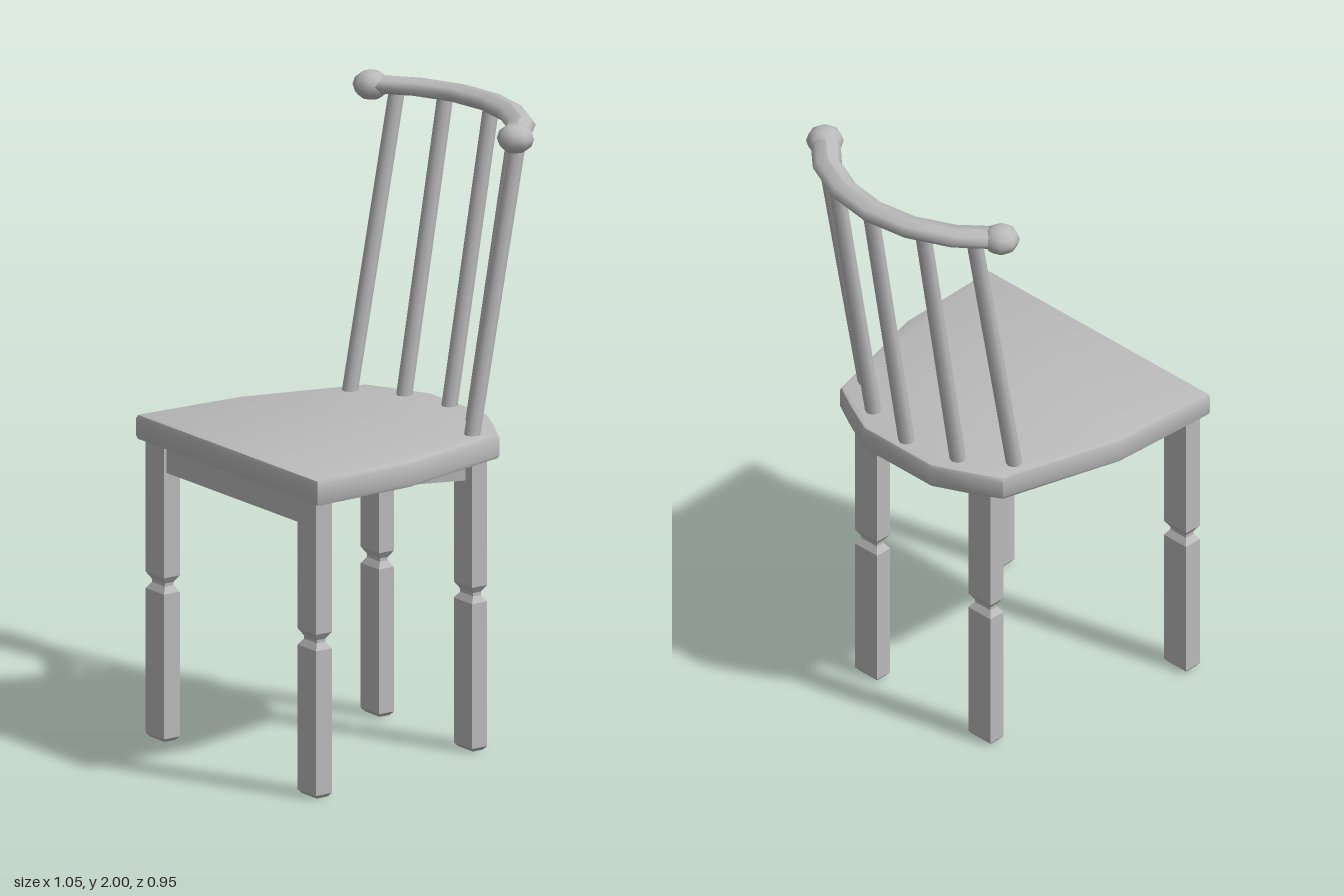
import * as THREE from 'three';
import { toCreasedNormals } from 'three/addons/utils/BufferGeometryUtils.js';

export function createModel() {
  const chair = new THREE.Group();
  chair.name = 'chair';
  const grey = new THREE.MeshStandardMaterial({ color: 0xbbbbbb });
  grey.name = 'grey';

  const add = (name, geometry, x = 0, y = 0, z = 0) => {
    const mesh = new THREE.Mesh(geometry, grey);
    mesh.name = name;
    mesh.position.set(x, y, z);
    chair.add(mesh);
    return mesh;
  };

  // Seat: broad straight front edge at -x, tapering to a faceted back
  const half = [[-0.525, 0.477], [-0.15, 0.462], [0.25, 0.352], [0.3, 0.26], [0.355, 0.145]];
  const outline = [...half.map(([x, z]) => [x, -z]), ...half.slice().reverse()];
  const bevel = 0.014;
  const seat = new THREE.ExtrudeGeometry(
    new THREE.Shape(outline.map(([x, z]) => new THREE.Vector2(x, z))),
    { depth: 0.084 - 2 * bevel, bevelThickness: bevel, bevelSize: bevel, bevelOffset: -bevel, bevelSegments: 2 }
  );
  seat.rotateX(-Math.PI / 2);
  add('seat', toCreasedNormals(seat, 0.75), 0, 0.938 + bevel, 0);

  // Legs: rectangular posts with a chamfered foot and a pinched ring halfway up
  const levels = [[0, 0.01], [0.012, 0], [0.472, 0], [0.492, 0.014], [0.502, 0.014], [0.524, 0], [0.945, 0]];
  const legGeometry = (w, d) => {
    const n = levels.length - 1;
    const box = new THREE.BoxGeometry(w, n, d, 1, n, 1);
    const p = box.attributes.position;
    for (let i = 0; i < p.count; i++) {
      const [y, inset] = levels[Math.round(p.getY(i) + n / 2)];
      p.setXYZ(i, p.getX(i) - Math.sign(p.getX(i)) * inset, y, p.getZ(i) - Math.sign(p.getZ(i)) * inset);
    }
    const flat = box.toNonIndexed();
    flat.computeVertexNormals();
    return flat;
  };
  for (const side of [1, -1]) {
    add('frontLeg', legGeometry(0.06, 0.096), -0.48, 0, side * 0.4);
    add('backLeg', legGeometry(0.057, 0.096), 0.222, 0, side * 0.245 - 0.006);
  }

  // Rails under the seat: one across the front legs, two running in a V to the back legs
  const rail = (name, x1, z1, x2, z2) => {
    const length = Math.hypot(x2 - x1, z2 - z1);
    const mesh = add(name, new THREE.BoxGeometry(length, 0.085, 0.04), (x1 + x2) / 2, 0.9, (z1 + z2) / 2);
    mesh.rotation.y = -Math.atan2(z2 - z1, x2 - x1);
  };
  rail('frontRail', -0.48, -0.37, -0.48, 0.37);
  for (const side of [1, -1]) rail('diagonalRail', -0.48, 0, 0.22, side * 0.24);

  // Back spindles: [base x, base z, top x, top z]
  const spindles = [
    [0.165, -0.317, 0.352, -0.328],
    [0.27, -0.178, 0.437, -0.192],
    [0.31, 0.004, 0.478, -0.008],
    [0.267, 0.19, 0.435, 0.187],
    [0.172, 0.316, 0.357, 0.308],
  ];
  const up = new THREE.Vector3(0, 1, 0);
  for (const [x1, z1, x2, z2] of spindles) {
    const base = new THREE.Vector3(x1, 1.015, z1);
    const direction = new THREE.Vector3(x2, 1.95, z2).sub(base);
    const length = direction.length();
    const geometry = new THREE.CylinderGeometry(0.025, 0.025, length, 8).translate(0, length / 2, 0);
    add('spindle', geometry, ...base.toArray()).quaternion.setFromUnitVectors(up, direction.normalize());
  }

  // Curved top rail with an oval section, finished by two round knobs
  const arc = [[0.3, -0.39], [0.375, -0.31], [0.448, -0.17], [0.474, -0.004], [0.445, 0.158], [0.375, 0.292], [0.3, 0.365]];
  const curve = new THREE.CatmullRomCurve3(arc.map(([x, z]) => new THREE.Vector3(x, 0, z)));
  const topRail = new THREE.TubeGeometry(curve, 6, 0.046, 8, false);
  topRail.scale(1, 0.63, 1);
  topRail.computeVertexNormals();
  add('topRail', topRail, 0, 1.957, 0);
  for (const z of [-0.393, 0.367]) {
    add('knob', new THREE.SphereGeometry(0.058, 8, 6).scale(1, 0.8, 1), 0.3, 1.954, z);
  }

  return chair;
}
